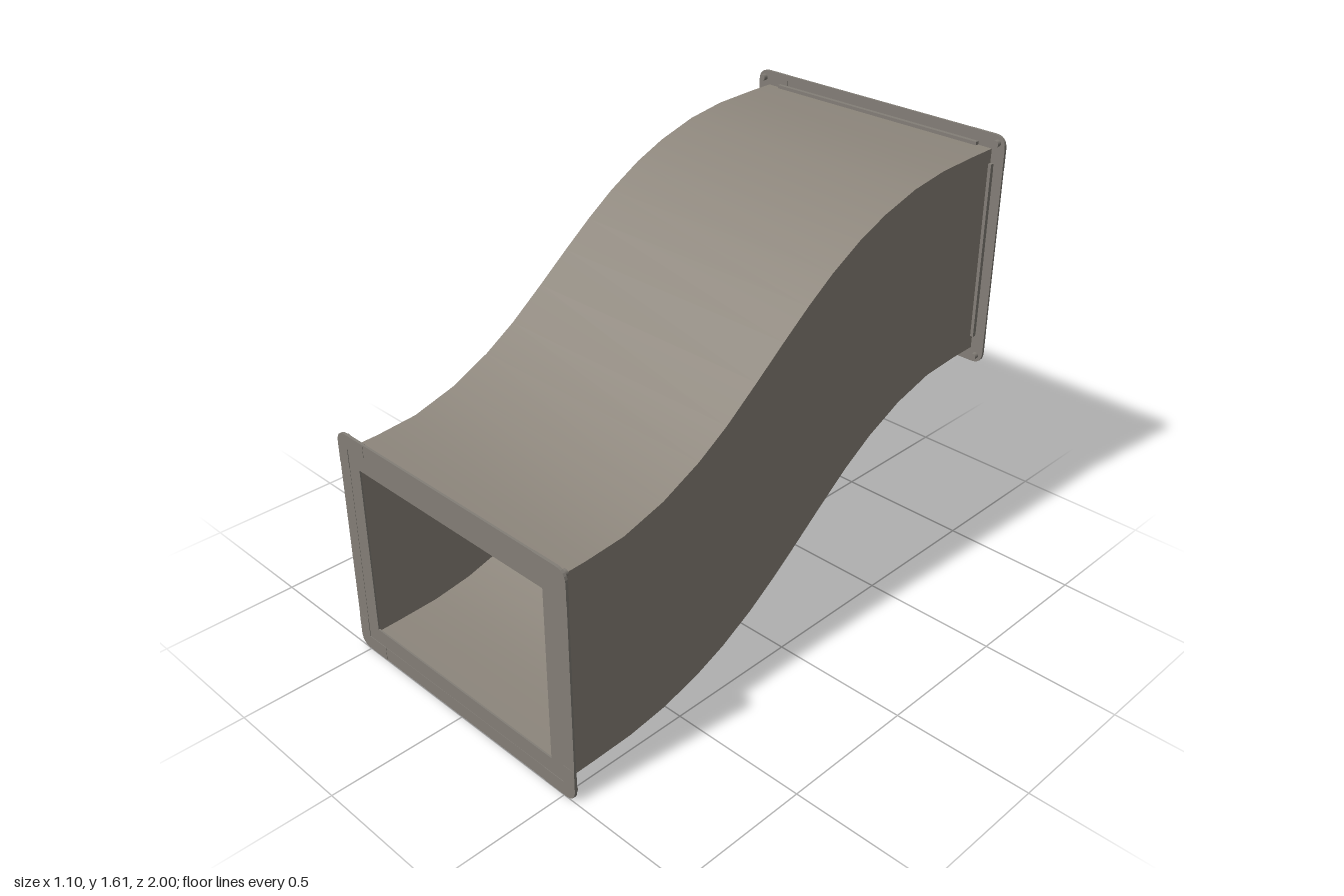
import * as THREE from 'three';

const CY = 0.8025;              // centre height of the whole duct
const W = 0.5, H = 0.375;       // half width and half height of the duct mouth
const FW = 0.55, FH = 0.4275;   // half size of the flange

const sheet = new THREE.MeshStandardMaterial({ color: 0x8c857b, side: THREE.DoubleSide });
sheet.name = 'duct sheet metal';
const steel = new THREE.MeshStandardMaterial({ color: 0x837e77 });
steel.name = 'flange steel';

// Top curve as [z, height from centre]; the bottom curve is its half turn
const TOP = [[0.995, 0], [0.88, 0.003], [0.73, 0.015], [0.57, 0.06], [0.42, 0.13], [0.3, 0.205],
  [0.17, 0.303], [0.05, 0.397], [-0.06, 0.48], [-0.17, 0.555], [-0.3, 0.627], [-0.42, 0.677],
  [-0.57, 0.72], [-0.72, 0.742], [-0.88, 0.748], [-0.995, 0.75]];
const BOTTOM = TOP.map(([z, y]) => [-z, -y]).reverse();

function add(group, name, geometry, material, x = 0, y = 0, z = 0) {
  const mesh = new THREE.Mesh(geometry, material);
  mesh.name = name;
  mesh.position.set(x, y, z);
  group.add(mesh);
  return mesh;
}

// Curved wall between two edges, each a profile at a fixed x
function wall(profileA, xA, profileB, xB) {
  const pos = [], index = [];
  profileA.forEach(([z, y], i) => {
    const [zb, yb] = profileB[i];
    pos.push(xA, y + CY, z, xB, yb + CY, zb);
    if (i) {
      const a = 2 * i - 2;
      index.push(a, a + 1, a + 2, a + 1, a + 3, a + 2);
    }
  });
  const g = new THREE.BufferGeometry();
  g.setAttribute('position', new THREE.Float32BufferAttribute(pos, 3));
  g.setIndex(index);
  g.computeVertexNormals();
  return g;
}

function rect(path, w, h, r) {
  path.moveTo(-w + r, -h);
  path.lineTo(w - r, -h);
  path.quadraticCurveTo(w, -h, w, -h + r);
  path.lineTo(w, h - r);
  path.quadraticCurveTo(w, h, w - r, h);
  path.lineTo(-w + r, h);
  path.quadraticCurveTo(-w, h, -w, h - r);
  path.lineTo(-w, -h + r);
  path.quadraticCurveTo(-w, -h, -w + r, -h);
  return path;
}

function frame(w, h, r, iw, ih, depth) {
  const shape = rect(new THREE.Shape(), w, h, r);
  shape.holes.push(rect(new THREE.Path(), iw, ih, 0.001));
  return new THREE.ExtrudeGeometry(shape, { depth, bevelEnabled: false, curveSegments: 6 });
}

// L-shaped plate for the upper +x corner of the flange
function cornerPlate() {
  const s = new THREE.Shape();
  s.moveTo(W, FH - 0.12);
  s.lineTo(FW, FH - 0.12);
  s.lineTo(FW, FH - 0.045);
  s.quadraticCurveTo(FW, FH, FW - 0.045, FH);
  s.lineTo(0.41, FH);
  s.lineTo(0.41, H);
  s.lineTo(W, H);
  return new THREE.ExtrudeGeometry(s, { depth: 0.01, bevelEnabled: false, curveSegments: 6 });
}

// Flange facing +z with its face at z = 0
function makeFlange(name) {
  const g = new THREE.Group();
  g.name = name;
  add(g, 'flangePlate', frame(FW, FH, 0.045, W, H, 0.008), steel, 0, 0, -0.009);
  add(g, 'gasketLip', frame(W, H, 0.001, 0.445, 0.3175, 0.006), steel, 0, 0, -0.008);

  // Stiffening lips hugging the duct behind the plate
  for (const s of [-1, 1]) {
    add(g, 'horizontalLip', new THREE.BoxGeometry(0.89, 0.012, 0.016), steel, 0, s * (H + 0.007), -0.016);
    add(g, 'verticalLip', new THREE.BoxGeometry(0.012, 0.65, 0.016), steel, s * (W + 0.007), 0, -0.016);
  }

  // Corner plates with small bolt heads, turned round for each corner
  const plate = cornerPlate();
  const bolt = new THREE.CylinderGeometry(0.012, 0.012, 0.018, 12).rotateX(Math.PI / 2);
  for (const flip of [0, 1]) for (const turn of [0, 1]) {
    const corner = new THREE.Group();
    corner.name = 'corner';
    add(corner, 'cornerPlate', plate, steel, 0, 0, -0.01);
    add(corner, 'cornerBolt', bolt, steel, 0.522, 0.4, -0.018);
    corner.rotation.z = turn * Math.PI;
    // A half turn about y mirrors the corner; shift it back to the flange face
    if (flip) {
      corner.rotation.set(0, Math.PI, turn * Math.PI);
      corner.position.z = -0.01;
      corner.children[1].position.z = 0.008;
    }
    g.add(corner);
  }
  return g;
}

export function createModel() {
  const model = new THREE.Group();
  model.name = 'offsetDuct';

  // Four walls of the S-shaped duct
  const duct = new THREE.Group();
  duct.name = 'ductBody';
  add(duct, 'topWall', wall(TOP, -W, TOP, W), sheet);
  add(duct, 'bottomWall', wall(BOTTOM, W, BOTTOM, -W), sheet);
  add(duct, 'leftWall', wall(TOP, W, BOTTOM, W), sheet);
  add(duct, 'rightWall', wall(BOTTOM, -W, TOP, -W), sheet);
  model.add(duct);

  // Flanges at both mouths
  const front = makeFlange('frontFlange');
  front.position.set(0, CY - H, 1);
  const back = makeFlange('backFlange');
  back.position.set(0, CY + H, -1);
  back.rotation.y = Math.PI;
  model.add(front, back);
  return model;
}
